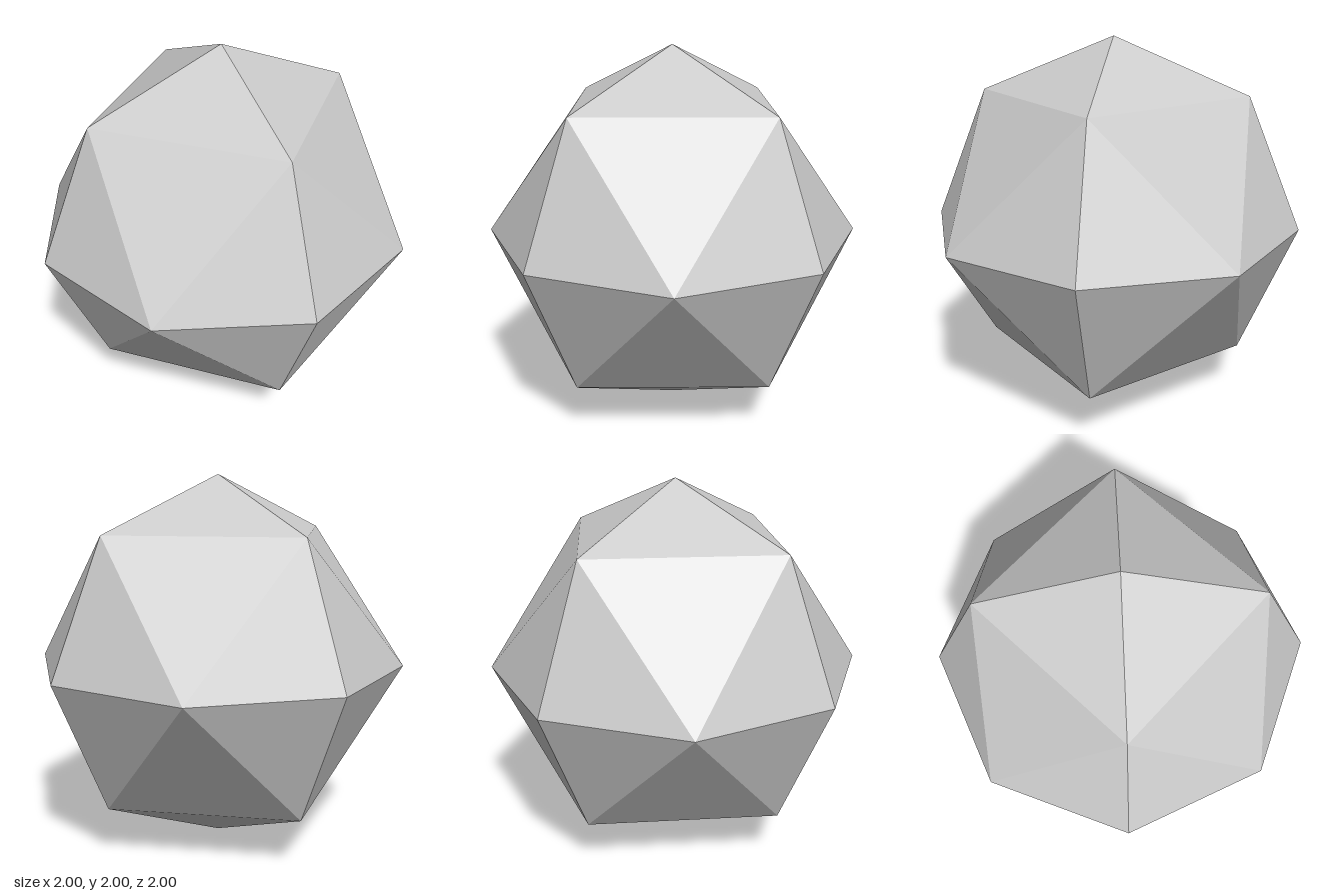
import * as THREE from 'three';

export function createModel() {
  const group = new THREE.Group();
  group.name = 'facetedBall';

  // Octahedron with each face split in four and pushed out to the unit sphere
  const geometry = new THREE.OctahedronGeometry(1, 1);
  geometry.computeVertexNormals(); // non-indexed, so every facet is flat
  const material = new THREE.MeshStandardMaterial({ color: 0xcccccc, flatShading: true });

  const ball = new THREE.Mesh(geometry, material);
  ball.name = 'ball';
  ball.position.y = 1;
  group.add(ball);

  return group;
}
